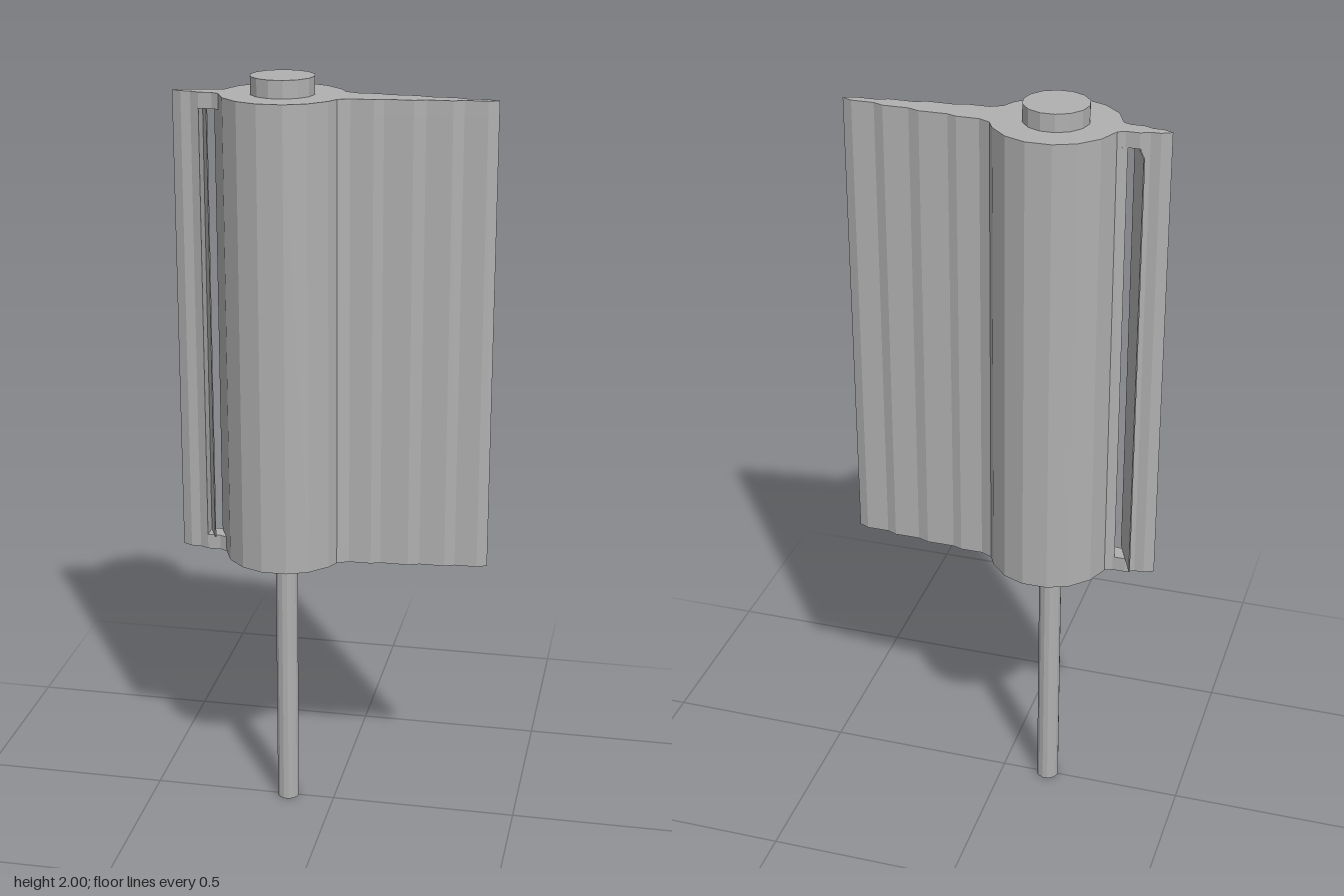
import * as THREE from 'three';

export function createModel() {
  const model = new THREE.Group();
  const grey = new THREE.MeshStandardMaterial({ color: 0xb0b0b0, flatShading: true });
  grey.name = 'plain grey';

  const add = (name, geometry) => {
    const mesh = new THREE.Mesh(geometry, grey);
    mesh.name = name;
    model.add(mesh);
    return mesh;
  };
  // Upright prism from a plan outline of [x, z] points
  const prism = (name, plan, y0, y1) => {
    const shape = new THREE.Shape(plan.map(([x, z]) => new THREE.Vector2(x, -z)));
    const geo = new THREE.ExtrudeGeometry(shape, { depth: y1 - y0, bevelEnabled: false });
    geo.rotateX(-Math.PI / 2).translate(0, y0, 0);
    return add(name, geo);
  };
  const mirrorZ = (pts) => pts.map(([x, z]) => [x, -z]).reverse();

  // Half outlines, running from the short fin to the long fin
  const shortTip = [[-0.385, 0.013], [-0.36, 0.013], [-0.337, 0.024]];
  const shortRoot = [[-0.303, 0.024]];
  const barrelAndLongFin = [
    [-0.284, 0.033], [-0.26, 0.089], [-0.215, 0.133], [-0.16, 0.156], [-0.095, 0.156],
    [-0.04, 0.133], [0.004, 0.089], [0.02, 0.058], [0.05, 0.043], [0.108, 0.043],
    [0.132, 0.034], [0.205, 0.034], [0.234, 0.023], [0.3, 0.023], [0.326, 0.012], [0.384, 0.012],
  ];
  const half = [...shortTip, ...shortRoot, ...barrelAndLongFin];
  const fullPlan = [[-0.41, 0], ...half, [0.41, 0], ...mirrorZ(half)];

  const bottom = 0.735, slotBottom = 0.775, slotTop = 1.915, top = 1.955;

  // End sections with the complete outline
  prism('lowerEnd', fullPlan, bottom, slotBottom);
  prism('upperEnd', fullPlan, slotTop, top);

  // Middle section, split by the upright slot
  prism('shortFin', [[-0.41, 0], ...shortTip, ...mirrorZ(shortTip)], slotBottom, slotTop);
  prism('barrelAndLongFin',
    [[-0.308, -0.022], ...barrelAndLongFin, [0.41, 0], ...mirrorZ(barrelAndLongFin)],
    slotBottom, slotTop);

  // Thin slanted flap passing through the slot
  const a = [-0.362, -0.082], b = [-0.312, 0.038], t = 0.0015;
  prism('slotFlap',
    [[a[0] - t, a[1]], [b[0] - t, b[1]], [b[0] + t, b[1]], [a[0] + t, a[1]]],
    slotBottom, slotTop);

  // Shaft and top boss
  const round = (name, radius, sides, y0, y1) => {
    const geo = new THREE.CylinderGeometry(radius, radius, y1 - y0, sides);
    geo.rotateY(Math.PI / sides);
    add(name, geo).position.set(-0.128, (y0 + y1) / 2, 0);
  };
  round('shaft', 0.03, 14, 0, bottom);
  round('topBoss', 0.082, 14, top, 2);

  return model;
}
